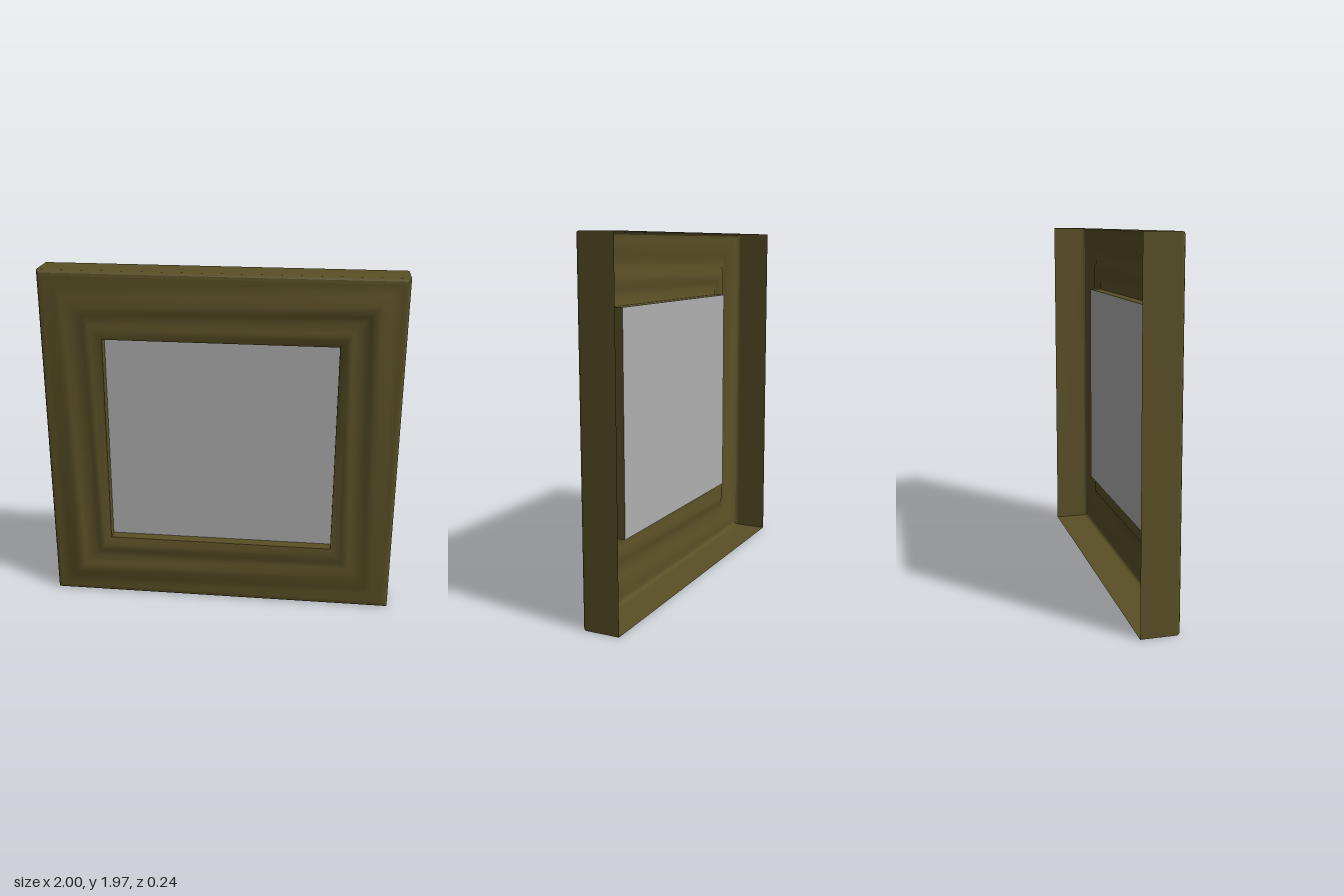
import * as THREE from 'three';

const HALF_W = 1, HALF_H = 0.985, MID_Y = 0.985;

// Sweeps a profile of [x inset, y inset, z] around the rectangle, from the outside inwards.
function frameBand(profile, smooth) {
  const positions = [], index = [];
  const corners = [[-1, -1], [1, -1], [1, 1], [-1, 1]];
  for (const [dx, dy, z] of profile) {
    for (const [sx, sy] of corners) {
      positions.push(sx * (HALF_W - dx), MID_Y + sy * (HALF_H - dy), z);
    }
  }
  for (let i = 0; i < profile.length - 1; i++) {
    for (let k = 0; k < 4; k++) {
      const a = i * 4 + k, b = i * 4 + (k + 1) % 4;
      index.push(a, b, b + 4, a, b + 4, a + 4);
    }
  }
  let geometry = new THREE.BufferGeometry();
  geometry.setAttribute('position', new THREE.Float32BufferAttribute(positions, 3));
  geometry.setIndex(index);
  if (!smooth) geometry = geometry.toNonIndexed();
  geometry.computeVertexNormals();
  return geometry;
}

export function createModel() {
  const model = new THREE.Group();
  model.name = 'pictureFrame';

  const wood = new THREE.MeshStandardMaterial({ color: 0x5a5026, side: THREE.DoubleSide });
  wood.name = 'olive wood';
  const grey = new THREE.MeshStandardMaterial({ color: 0xb0b0b0, side: THREE.DoubleSide });
  grey.name = 'grey panel';

  const add = (name, geometry, material) => {
    const mesh = new THREE.Mesh(geometry, material);
    mesh.name = name;
    model.add(mesh);
    return mesh;
  };

  // Outer walls, open at the back
  add('outerWalls', frameBand([[0, 0, -0.12], [0, 0, 0.07]], false), wood);

  // Small rounded front edge
  add('roundedEdge', frameBand([
    [0, 0, 0.07], [0.005, 0.005, 0.082], [0.014, 0.014, 0.088], [0.03, 0.03, 0.09],
  ], false), wood);

  // Moulded face: outer flat, bevel, raised band, groove, inner ridge and lip
  add('moulding', frameBand([
    [0.03, 0.03, 0.09],
    [0.095, 0.09, 0.09],
    [0.14, 0.14, 0.12],
    [0.195, 0.2, 0.118],
    [0.24, 0.245, 0.088],
    [0.285, 0.295, 0.115],
    [0.315, 0.335, 0.112],
    [0.35, 0.375, 0.097],
  ], true), wood);

  // Short walls from the lip back to the panel
  add('innerWalls', frameBand([[0.35, 0.375, 0.097], [0.35, 0.375, 0.035]], false), wood);

  // Picture panel
  const panel = add('panel', new THREE.PlaneGeometry(1.3, 1.22), grey);
  panel.position.set(0, MID_Y, 0.035);

  return model;
}
